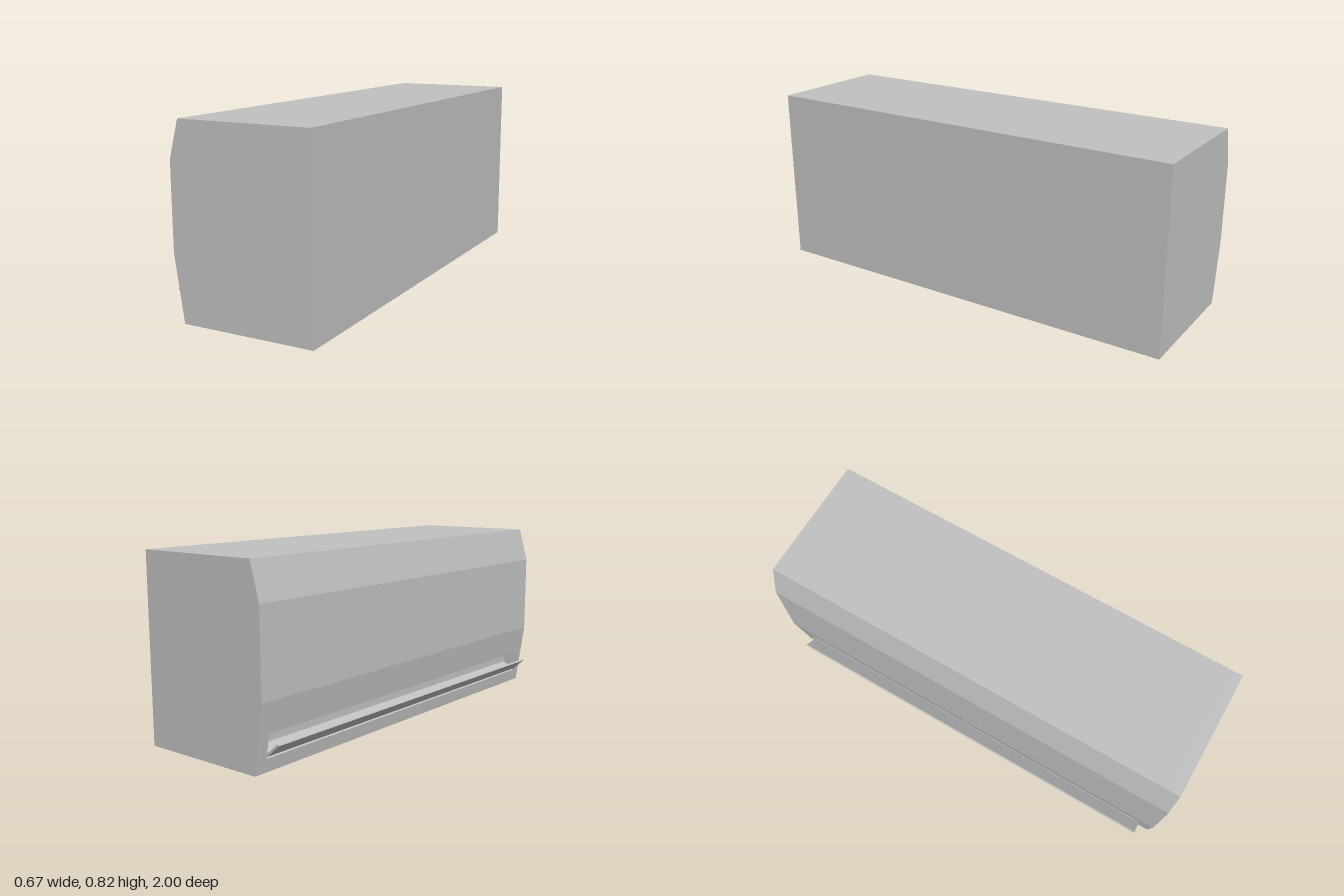
import * as THREE from 'three';

// Extrudes an x/y outline between two z positions
function prism(name, points, z0, z1, material) {
  const shape = new THREE.Shape(points.map(([x, y]) => new THREE.Vector2(x, y)));
  const geometry = new THREE.ExtrudeGeometry(shape, { depth: z1 - z0, bevelEnabled: false });
  geometry.translate(0, 0, z0);
  const mesh = new THREE.Mesh(geometry, material);
  mesh.name = name;
  return mesh;
}

export function createModel() {
  const group = new THREE.Group();
  group.name = 'airConditioner';
  const casingGrey = new THREE.MeshStandardMaterial({ color: 0xc0c0c0 });
  casingGrey.name = 'casing grey';

  const slotEnd = 0.945;
  const faceX = (y) => -0.262 - 0.042 * (y / 0.29); // sloping lower front panel

  const bottom = [[-0.262, 0], [0.335, 0], [0.335, 0.82], [-0.26, 0.82], [-0.304, 0.66], [-0.304, 0.29]];
  // Air outlet: upper lip, ceiling, back wall and sloping floor
  const outlet = [[faceX(0.158), 0.158], [-0.215, 0.158], [-0.215, 0.098], [faceX(0.057), 0.057]];

  // Casing with the outlet cut along its middle, closed by solid ends
  group.add(prism('casing', [...bottom, ...outlet], -slotEnd, slotEnd, casingGrey));
  group.add(prism('frontEnd', bottom, slotEnd, 1, casingGrey));
  group.add(prism('backEnd', bottom, -1, -slotEnd, casingGrey));

  // Tilted louver hinged in the outlet
  const louver = [[-0.274, 0.066], [-0.268, 0.074], [-0.33, 0.127], [-0.336, 0.12]];
  group.add(prism('louver', louver, -slotEnd, slotEnd, casingGrey));

  return group;
}
